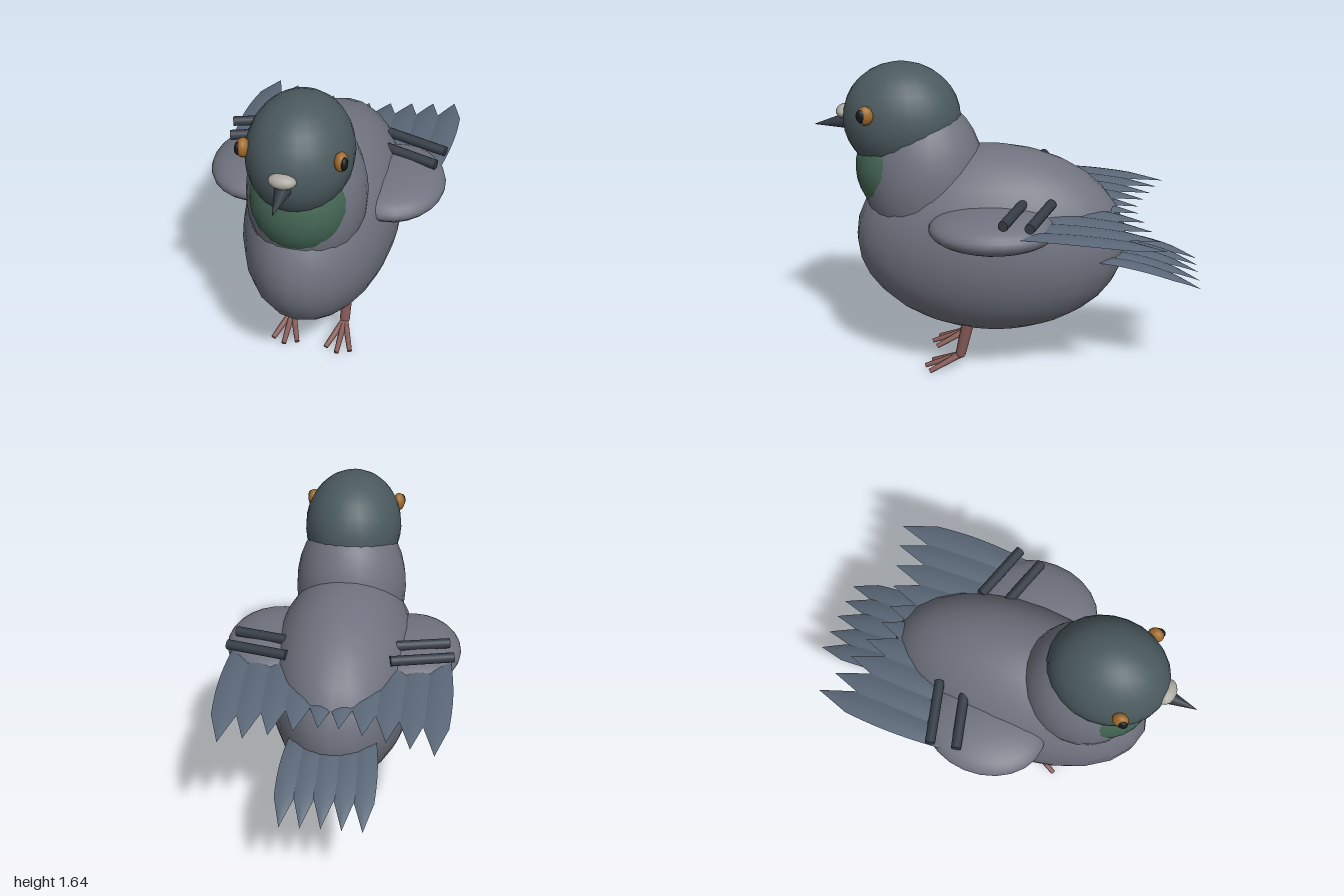
import * as THREE from 'three';

const mat = (color, side = THREE.FrontSide) => new THREE.MeshStandardMaterial({ color, side });
const V = (x, y, z) => new THREE.Vector3(x, y, z);

export function createModel() {
  const bird = new THREE.Group();
  bird.name = 'bird';

  const mats = {
    body: mat(0x70737f), head: mat(0x4b5a5f), throat: mat(0x446654),
    feather: mat(0x5a6777, THREE.DoubleSide), bar: mat(0x363d46),
    beak: mat(0x343a42), cere: mat(0xaaa89f), eye: mat(0xa06c2c),
    pupil: mat(0x16181b), leg: mat(0x855a56),
  };

  const add = (name, geo, material) => {
    const mesh = new THREE.Mesh(geo, material);
    mesh.name = name;
    bird.add(mesh);
    return mesh;
  };

  // Ellipsoid with centre c and radii r
  const ellipsoid = (name, c, r, material, w = 24, h = 16) => {
    const mesh = add(name, new THREE.SphereGeometry(1, w, h), material);
    mesh.position.set(...c);
    mesh.scale.set(...r);
    return mesh;
  };

  // Tapered round rod from a to b
  const rod = (name, a, b, ra, rb, material, sides = 12) => {
    const dir = b.clone().sub(a);
    const mesh = add(name, new THREE.CylinderGeometry(rb, ra, dir.length(), sides), material);
    mesh.position.copy(a).add(b).multiplyScalar(0.5);
    mesh.quaternion.setFromUnitVectors(V(0, 1, 0), dir.normalize());
    return mesh;
  };

  // Pointed, slightly arched feather running backwards and drooping to its tip
  const feather = (name, x0, x1, y, z0, z1, half, drop) => {
    const geo = new THREE.PlaneGeometry(1, 1, 4, 12);
    const p = geo.attributes.position;
    for (let i = 0; i < p.count; i++) {
      const u = p.getX(i) * 2;
      const t = p.getY(i) + 0.5;
      const blade = 0.7 + 0.3 * Math.sin((Math.PI * Math.min(t, 0.75)) / 0.9);
      const w = half * blade * (t > 0.75 ? (1 - t) / 0.25 : 1);
      p.setXYZ(i,
        THREE.MathUtils.lerp(x0, x1, t) + u * w,
        y - drop * t * t + 0.014 * (1 - u * u) * (w / half),
        THREE.MathUtils.lerp(z0, z1, t));
    }
    geo.computeVertexNormals();
    return add(name, geo, mats.feather);
  };

  // Torso, neck and head
  ellipsoid('body', [0, 0.715, 0.095], [0.39, 0.505, 0.71], mats.body);
  ellipsoid('neck', [0, 1.05, 0.44], [0.295, 0.42, 0.315], mats.body);
  ellipsoid('throat', [0, 1.1, 0.55], [0.247, 0.28, 0.242], mats.throat);
  ellipsoid('head', [0, 1.355, 0.545], [0.255, 0.29, 0.303], mats.head);

  // Beak with its pale base
  rod('beak', V(0, 1.337, 0.81), V(0, 1.31, 1), 0.046, 0.001, mats.beak, 16);
  ellipsoid('beakBase', [0, 1.385, 0.84], [0.066, 0.036, 0.045], mats.cere, 16, 12);

  // Fanned tail feathers
  for (let i = -2; i <= 2; i++) {
    feather('tailFeather', i * 0.085, i * 0.099, 0.685 - Math.abs(i) * 0.003,
      -0.42, -1, 0.058, 0.135);
  }

  for (const s of [1, -1]) {
    const side = s > 0 ? 'left' : 'right';

    // Eyes
    ellipsoid(side + 'Eye', [s * 0.23, 1.428, 0.69], [0.032, 0.048, 0.041], mats.eye, 16, 12);
    ellipsoid(side + 'Pupil', [s * 0.247, 1.43, 0.705], [0.018, 0.034, 0.027], mats.pupil, 16, 12);

    // Wing with two dark bars across it
    ellipsoid(side + 'Wing', [s * 0.35, 0.9, 0.05], [0.26, 0.1, 0.32], mats.body);
    rod(side + 'WingBar', V(s * 0.26, 1.005, -0.235), V(s * 0.573, 0.993, -0.148),
      0.026, 0.026, mats.bar);
    rod(side + 'WingBar', V(s * 0.27, 1.005, -0.095), V(s * 0.547, 0.993, -0.018),
      0.026, 0.026, mats.bar);

    // Flight feathers, shortest nearest the back
    for (let i = 0; i < 5; i++) {
      const x = 0.51 - i * 0.115;
      feather(side + 'WingFeather', s * x, s * x, 0.93 + i * 0.004,
        -0.08, -0.81 + i * 0.035, 0.072, 0.056);
    }

    // Leg and three spread toes
    const ankle = V(s * 0.145, 0.095, 0.245);
    rod(side + 'Leg', V(s * 0.147, 0.32, 0.195), ankle, 0.034, 0.027, mats.leg);
    ellipsoid(side + 'Ankle', ankle.toArray(), [0.027, 0.024, 0.027], mats.leg, 12, 8);
    for (const k of [-1, 0, 1]) {
      rod(side + 'Toe', ankle.clone().add(V(0, -0.005, 0)),
        V(s * 0.145 + k * 0.066, 0.014, k ? 0.405 : 0.435), 0.018, 0.013, mats.leg, 8);
    }
  }

  return bird;
}
